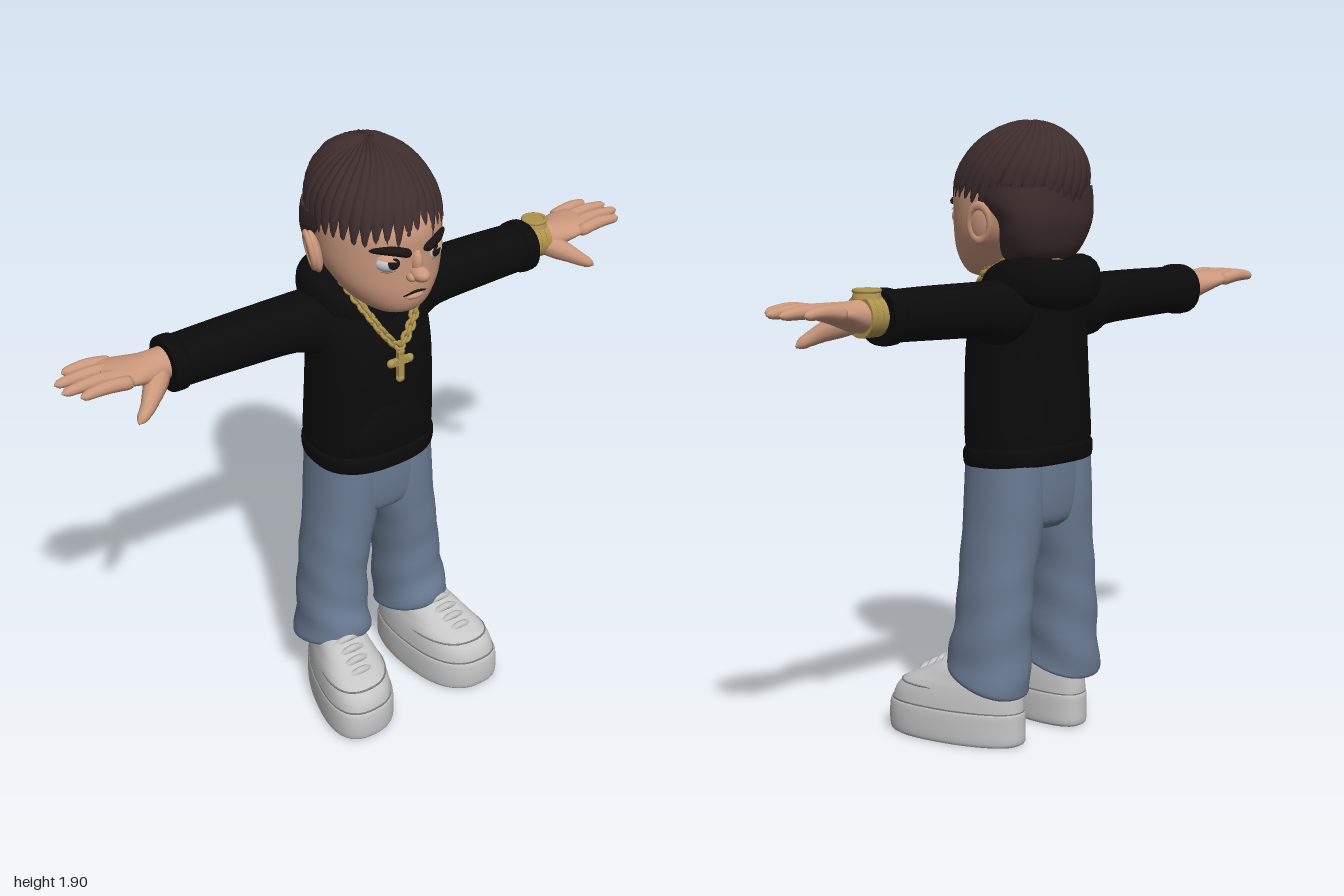
import * as THREE from 'three';

const mat = (name, color) => Object.assign(new THREE.MeshStandardMaterial({ color }), { name });
const V = (x, y, z) => new THREE.Vector3(x, y, z);
const TAU = Math.PI * 2;
const spow = (v, p) => Math.sign(v) * Math.abs(v) ** p;

// Smoothly resample rows of numbers, k steps between neighbours
function resample(rows, k) {
  const out = [], at = i => rows[Math.max(0, Math.min(rows.length - 1, i))];
  for (let i = 0; i < rows.length - 1; i++) for (let j = 0; j < k; j++) {
    const t = j / k, [a, b, c, d] = [at(i - 1), at(i), at(i + 1), at(i + 2)];
    out.push(b.map((_, q) => 0.5 * (2 * b[q] + (c[q] - a[q]) * t + (2 * a[q] - 5 * b[q] + 4 * c[q] - d[q]) * t * t
      + (3 * b[q] - a[q] - 3 * c[q] + d[q]) * t ** 3)));
  }
  return [...out, rows[rows.length - 1]];
}

// Skin over rings of points; capped unless closed into a loop; turned outward by its signed volume
function skin(rings, closed = false) {
  const n = rings[0].length, m = rings.length, pts = rings.flat(), idx = [];
  for (let i = 0; i < (closed ? m : m - 1); i++) for (let j = 0; j < n; j++) {
    const a = i * n + j, b = i * n + (j + 1) % n, c = ((i + 1) % m) * n + j, d = ((i + 1) % m) * n + (j + 1) % n;
    idx.push(a, c, b, b, c, d);
  }
  if (!closed) [rings[0], rings[m - 1]].forEach((ring, e) => {
    const s = pts.length;
    pts.push(...ring, ring.reduce((p, q) => p.add(q), V(0, 0, 0)).divideScalar(n));
    for (let j = 0; j < n; j++) {
      const k = (j + 1) % n;
      e ? idx.push(s + j, s + n, s + k) : idx.push(s + j, s + k, s + n);
    }
  });
  let vol = 0;
  for (let i = 0; i < idx.length; i += 3) vol += pts[idx[i]].dot(V(0, 0, 0).crossVectors(pts[idx[i + 1]], pts[idx[i + 2]]));
  if (vol < 0) idx.reverse();
  const g = new THREE.BufferGeometry().setFromPoints(pts);
  g.setIndex(idx);
  g.computeVertexNormals();
  return g;
}

// Loft along y (or x) from rows [position, centre1, radius1, centreZ, radiusZ]
function loft(rows, { axis = 'y', s = 1, n = 2, k = 4, seg = 32, tweak } = {}) {
  return skin(resample(rows, k).map(([p, c1, r1, c2, r2]) => Array.from({ length: seg }, (_, j) => {
    const a = j / seg * TAU, u = c1 + r1 * spow(Math.cos(a), 2 / n), z = c2 + r2 * spow(Math.sin(a), 2 / n);
    const v = axis === 'y' ? V(u, p, z) : V(p, u, z);
    if (tweak) tweak(v, a);
    v.x *= s;
    return v;
  })));
}

// Round-ended tube through points with radii spread along it
function sweep(pts, radii, seg = 10, steps = 16) {
  const curve = new THREE.CatmullRomCurve3(pts.map(p => V(...p)));
  const f = curve.computeFrenetFrames(steps), rs = resample(radii.map(r => [r]), 8);
  return skin(Array.from({ length: steps + 1 }, (_, i) => {
    const u = i / steps, e = Math.min(1, Math.min(u, 1 - u) * 7 + 0.02);
    const r = rs[Math.round(u * (rs.length - 1))][0] * Math.sqrt(1 - (1 - e) ** 2), c = curve.getPointAt(u);
    return Array.from({ length: seg }, (_, j) => c.clone()
      .addScaledVector(f.normals[i], r * Math.cos(j / seg * TAU)).addScaledVector(f.binormals[i], r * Math.sin(j / seg * TAU)));
  }));
}

export function createModel() {
  const root = new THREE.Group();
  const skinMat = mat('skin', 0xcb987c), hair = mat('hair', 0x402e2e), dark = mat('dark', 0x1a1313), white = mat('eyeWhite', 0xc4ccd4);
  const black = mat('hoodieBlack', 0x0b0b0c), denim = mat('denim', 0x6a7b93), shoeMat = mat('shoe', 0xc6c6c6);
  const seam = mat('shoeSeam', 0x808080), gold = mat('gold', 0xae954e);
  const add = (name, geo, m, parent = root) => {
    const mesh = new THREE.Mesh(geo, m);
    mesh.name = name;
    parent.add(mesh);
    return mesh;
  };
  const ball = (name, m, p, r, parent) => {
    const b = add(name, new THREE.SphereGeometry(1, 24, 16), m, parent);
    b.position.set(...p);
    b.scale.set(...r);
    return b;
  };
  let seed = 7;
  const rnd = () => (seed = (seed * 16807) % 2147483647) / 2147483647;

  // Head, neck and face
  add('head', loft([[1.422, 0, 0.035, 0.1, 0.035], [1.435, 0, 0.08, 0.085, 0.078], [1.465, 0, 0.122, 0.05, 0.13], [1.51, 0, 0.155, 0.03, 0.157],
    [1.56, 0, 0.176, 0.005, 0.183], [1.62, 0, 0.183, -0.005, 0.194], [1.7, 0, 0.178, -0.01, 0.198], [1.78, 0, 0.14, -0.02, 0.16], [1.83, 0, 0.06, -0.02, 0.07]],
  { seg: 40 }), skinMat);
  add('neck', new THREE.CylinderGeometry(0.08, 0.085, 0.17, 24), skinMat).position.set(0, 1.43, -0.07);
  ball('noseTip', skinMat, [0, 1.568, 0.2], [0.026, 0.023, 0.038]);
  ball('noseBridge', skinMat, [0, 1.6, 0.182], [0.018, 0.04, 0.025]);
  add('mouth', sweep([[-0.042, 1.497, 0.179], [0, 1.507, 0.188], [0.042, 1.497, 0.179]], [0.003, 0.004, 0.003], 6), dark);
  ball('lowerLip', skinMat, [0, 1.49, 0.175], [0.032, 0.011, 0.016]);

  for (const s of [1, -1]) {
    ball('nostril', skinMat, [s * 0.022, 1.56, 0.192], [0.014, 0.014, 0.018]);
    const eye = new THREE.Group();
    eye.name = 'eye';
    eye.position.set(s * 0.072, 1.607, 0.148);
    eye.rotation.y = s * 0.32;
    root.add(eye);
    ball('eyeball', white, [0, 0, 0], [0.043, 0.031, 0.034], eye);
    ball('pupil', dark, [-s * 0.008, 0.004, 0.031], [0.018, 0.018, 0.006], eye);
    const lid = add('upperLid', new THREE.SphereGeometry(1, 24, 10, 0, TAU, 0, 1.2), skinMat, eye);
    lid.scale.set(0.047, 0.036, 0.041);
    lid.rotation.z = s * 0.14;
    const lower = add('lowerLid', new THREE.SphereGeometry(1, 24, 8, 0, TAU, 2.25, Math.PI - 2.25), skinMat, eye);
    lower.scale.set(0.046, 0.034, 0.038);
    add('eyebrow', sweep([[s * 0.022, 1.633, 0.193], [s * 0.075, 1.65, 0.178], [s * 0.13, 1.65, 0.137]], [0.014, 0.014, 0.007], 8), dark);
    const ear = new THREE.Group();
    ear.name = 'ear';
    ear.position.set(s * 0.19, 1.59, -0.05);
    ear.rotation.set(-0.1, s * 0.35, -s * 0.15);
    root.add(ear);
    ball('earBody', skinMat, [0, 0, 0], [0.02, 0.066, 0.038], ear);
    const rim = add('earRim', new THREE.TorusGeometry(0.033, 0.009, 8, 24), skinMat, ear);
    rim.rotation.y = Math.PI / 2;
    rim.position.set(s * 0.012, 0.008, 0);
    rim.scale.y = 1.55;
  }

  // Hair: short back and sides, cap, and locks swirling out of the crown
  add('shortHair', loft([[1.475, 0, 0.1, -0.09, 0.055], [1.5, 0, 0.128, -0.105, 0.088], [1.55, 0, 0.154, -0.118, 0.1], [1.6, 0, 0.167, -0.125, 0.108],
    [1.65, 0, 0.183, -0.095, 0.142], [1.7, 0, 0.186, -0.06, 0.178]], { n: 2.3 }), hair);
  const dome = (a, phi, k = 1) => V(0.183 * k * Math.sin(phi) * Math.sin(a), 1.68 + 0.2 * k * Math.cos(phi),
    -0.025 - 0.04 * Math.cos(phi) + 0.213 * k * Math.sin(phi) * Math.cos(a));
  add('hairCap', skin(Array.from({ length: 14 }, (_, i) => Array.from({ length: 36 }, (_, j) => dome(j / 36 * TAU, 0.01 + i * 0.113, 0.985)))), hair);
  const locks = new THREE.Group();
  locks.name = 'hairLocks';
  root.add(locks);
  const N = 38;
  for (let i = 0; i < N; i++) {
    const a0 = i / N * TAU, front = Math.max(0, Math.cos(a0)), end = 1.74 - 0.12 * front ** 2 + (rnd() - 0.5) * 0.16, lift = 0.99 + rnd() * 0.02;
    add('lock', skin(Array.from({ length: 13 }, (_, r) => {
      const t = r / 12, phi = 0.06 + t * (end - 0.06), a = a0 + 0.55 * (1 - t) ** 1.5;
      const c = dome(a, phi, lift), side = dome(a + 0.01, phi).sub(dome(a - 0.01, phi)).normalize();
      const out = V(c.x, (c.y - 1.68) * 0.9, c.z + 0.025).normalize();
      const taper = Math.min(1, (1 - t) * 3.2 + 0.03) ** 0.7, w = 0.02 * Math.sin(phi) * 1.15 * taper + 0.001, h = 0.014 * taper;
      return Array.from({ length: 8 }, (_, j) => c.clone().addScaledVector(side, w * Math.cos(j / 8 * TAU)).addScaledVector(out, h * Math.sin(j / 8 * TAU)));
    })), hair, locks);
  }

  // Hoodie body, hem, pocket and hood
  add('hoodieBody', loft([[0.88, 0, 0.198, -0.06, 0.148], [0.95, 0, 0.205, -0.06, 0.155], [1.1, 0, 0.2, -0.055, 0.154], [1.24, 0, 0.193, -0.055, 0.15],
    [1.34, 0, 0.185, -0.07, 0.135], [1.41, 0, 0.15, -0.09, 0.105], [1.445, 0, 0.08, -0.09, 0.07]], { n: 2.5, seg: 40 }), black);
  add('hem', loft([[0.865, 0, 0.2, -0.06, 0.15], [0.875, 0, 0.208, -0.06, 0.158], [0.91, 0, 0.21, -0.06, 0.16], [0.925, 0, 0.202, -0.06, 0.153]],
    { n: 2.5, seg: 40, tweak: v => { v.y -= (v.z + 0.06) * 0.06; } }), black);
  add('pocket', loft([[0.93, 0, 0.15, 0.03, 0.074], [0.98, 0, 0.15, 0.03, 0.081], [1.05, 0, 0.115, 0.03, 0.082], [1.085, 0, 0.095, 0.03, 0.076]], { n: 3 }), black);
  add('hood', skin(Array.from({ length: 48 }, (_, i) => {
    const a = i / 48 * TAU, b = (1 - Math.cos(a)) / 2, w = Math.sin(a) ** 2;
    const c = V(0.135 * Math.sin(a), 1.362 + 0.05 * b + 0.035 * w, 0.03 - 0.245 * b - 0.0 * w);
    const out = V(Math.sin(a), 0, Math.cos(a)), r = 0.028 + 0.042 * b + 0.004 * w, h = 0.035 + 0.04 * b + 0.008 * w;
    return Array.from({ length: 18 }, (_, j) => c.clone().addScaledVector(out, r * spow(Math.cos(j / 18 * TAU), 0.85))
      .add(V(0, h * spow(Math.sin(j / 18 * TAU), 0.85), 0)));
  }), true), black);

  // Arms and hands
  for (const s of [1, -1]) {
    const e = s > 0 ? 0.638 : 0.673;
    add('sleeve', loft([[0.08, 1.345, 0.075, -0.1, 0.085], [0.18, 1.333, 0.096, -0.102, 0.1], [0.26, 1.347, 0.082, -0.104, 0.092],
      [0.45, 1.352, 0.077, -0.102, 0.086], [e - 0.03, 1.353, 0.073, -0.1, 0.08]], { axis: 'x', s, n: 2.2 }), black);
    add('cuff', loft([[e - 0.05, 1.353, 0.07, -0.1, 0.076], [e - 0.042, 1.353, 0.08, -0.1, 0.085], [e - 0.008, 1.353, 0.08, -0.1, 0.085],
      [e, 1.353, 0.074, -0.1, 0.079]], { axis: 'x', s, n: 2.2, k: 3 }), black);
    add('palm', loft([[0.6, 1.358, 0.05, -0.1, 0.055], [0.68, 1.36, 0.048, -0.1, 0.052], [0.73, 1.362, 0.043, -0.098, 0.06], [0.79, 1.374, 0.031, -0.098, 0.077],
      [0.84, 1.382, 0.023, -0.1, 0.078], [0.865, 1.384, 0.013, -0.1, 0.068]], { axis: 'x', s }), skinMat);
    [[-0.032, -0.026, 0.965], [-0.076, -0.074, 0.998], [-0.121, -0.126, 0.995], [-0.162, -0.174, 0.95]].forEach(([z0, z1, tip]) =>
      add('finger', sweep([[s * 0.8, 1.376, z0], [s * 0.88, 1.388, (z0 + z1) / 2], [s * tip, 1.384, z1]], [0.021, 0.02, 0.014]), skinMat));
    add('thumb', sweep([[s * 0.69, 1.352, -0.085], [s * 0.745, 1.325, -0.03], [s * 0.785, 1.3, 0.005], [s * 0.825, 1.276, 0.026]], [0.034, 0.034, 0.024, 0.015]), skinMat);
  }

  // Wristwatch
  const watch = new THREE.Group();
  watch.name = 'watch';
  watch.position.set(0.674, 1.36, -0.1);
  root.add(watch);
  for (let i = 0; i < 3; i++) {
    const band = add('watchBand', new THREE.CylinderGeometry(0.06, 0.06, 0.019, 28), gold, watch);
    band.rotation.z = Math.PI / 2;
    band.position.x = (i - 1) * 0.02;
  }
  add('watchCase', new THREE.CylinderGeometry(0.036, 0.042, 0.022, 28), gold, watch).position.y = 0.06;
  const bezel = add('watchBezel', new THREE.TorusGeometry(0.036, 0.006, 8, 28), gold, watch);
  bezel.rotation.x = Math.PI / 2;
  bezel.position.y = 0.07;

  // Chain with cross pendant
  const chain = new THREE.Group();
  chain.name = 'necklace';
  root.add(chain);
  const path = new THREE.CatmullRomCurve3([[0, 1.29, 0.108], [0.045, 1.335, 0.098], [0.078, 1.39, 0.075], [0.1, 1.45, 0.01], [0.085, 1.485, -0.09], [0, 1.49, -0.165],
    [-0.085, 1.485, -0.09], [-0.1, 1.45, 0.01], [-0.078, 1.39, 0.075], [-0.045, 1.335, 0.098]].map(p => V(...p)), true);
  for (let i = 0; i < 52; i++) {
    const link = add('chainLink', new THREE.TorusGeometry(0.011, 0.006, 6, 10), gold, chain);
    link.position.copy(path.getPointAt(i / 52));
    link.quaternion.setFromUnitVectors(V(1, 0, 0), path.getTangentAt(i / 52));
    link.rotateX(i % 2 ? 0.8 : -0.8);
    link.scale.x = 1.3;
  }
  add('crossUpright', new THREE.BoxGeometry(0.02, 0.1, 0.016), gold).position.set(0, 1.226, 0.112);
  add('crossBar', new THREE.BoxGeometry(0.066, 0.02, 0.016), gold).position.set(0, 1.24, 0.112);
  [[0, 1.182], [0.033, 1.24], [-0.033, 1.24], [0, 1.274]].forEach(([x, y]) => ball('crossTip', gold, [x, y, 0.112], [0.014, 0.014, 0.011]));

  // Jeans
  add('jeansSeat', loft([[0.67, 0, 0.1, -0.06, 0.1], [0.7, 0, 0.17, -0.06, 0.125], [0.78, 0, 0.2, -0.06, 0.136], [0.9, 0, 0.195, -0.06, 0.14]], { n: 2.3 }), denim);
  for (const s of [1, -1]) {
    add('jeansLeg', loft([[0.88, 0.1, 0.1, -0.06, 0.135], [0.76, 0.104, 0.106, -0.06, 0.135], [0.66, 0.111, 0.108, -0.058, 0.13], [0.55, 0.131, 0.102, -0.056, 0.126],
      [0.44, 0.143, 0.102, -0.056, 0.124], [0.32, 0.151, 0.107, -0.05, 0.128], [0.23, 0.157, 0.113, -0.042, 0.138], [0.205, 0.157, 0.112, -0.041, 0.138], [0.197, 0.157, 0.104, -0.041, 0.13]],
    { s, n: 2.2, tweak: (v, a) => {
      const low = Math.max(0, Math.min(1, (0.7 - v.y) / 0.4)), f = 0.004 * low * Math.sin(v.y * 42 + a * 2);
      v.x += f * Math.cos(a);
      v.z += f * Math.sin(a);
      v.y += Math.max(0, Math.min(1, (0.42 - v.y) / 0.2)) * 0.3 * (v.z + 0.04);
    } }), denim);

    // Sneakers
    const ring = ([y, zb, zf, k]) => Array.from({ length: 40 }, (_, j) => {
      const t = j / 40 * TAU - Math.PI, z = (zb + zf) / 2 + (zf - zb) / 2 * spow(Math.cos(t), 0.9);
      return V(s * (0.165 + 0.18 * z + k * spow(Math.sin(t), 0.8) * (0.115 + 0.03 * Math.cos(t))), y, z);
    });
    const shoe = new THREE.Group();
    shoe.name = 'sneaker';
    root.add(shoe);
    const part = (name, rows, m) => add(name, skin(resample(rows, 3).map(ring)), m, shoe);
    part('sole', [[0, -0.148, 0.275, 0.94], [0.012, -0.16, 0.288, 1], [0.06, -0.16, 0.29, 1.01], [0.098, -0.16, 0.286, 0.99], [0.106, -0.156, 0.28, 0.95]], shoeMat);
    part('soleSeam', [[0.102, -0.157, 0.282, 0.97], [0.109, -0.157, 0.282, 0.965]], seam);
    part('upper', [[0.1, -0.156, 0.28, 0.955], [0.14, -0.155, 0.268, 0.92], [0.175, -0.152, 0.235, 0.85], [0.2, -0.148, 0.185, 0.76],
      [0.23, -0.142, 0.13, 0.66], [0.255, -0.135, 0.09, 0.5], [0.262, -0.11, 0.06, 0.35]], shoeMat);
    const toe = ring([0.166, -0.153, 0.246, 0.875]).filter((_, j) => j > 10 && j < 30 && j % 2);
    add('toeSeam', sweep(toe.map(p => p.toArray()), [0.003, 0.003], 6, 30), seam, shoe);
    [[0.188, 0.197], [0.155, 0.217], [0.122, 0.236], [0.09, 0.256]].forEach(([z, y]) => {
      const c = 0.165 + 0.18 * z;
      add('lace', sweep([[s * (c - 0.062), y - 0.026, z - 0.015], [s * c, y + 0.003, z], [s * (c + 0.062), y - 0.026, z - 0.015]], [0.01, 0.012, 0.01], 8), shoeMat, shoe);
    });
  }
  return root;
}
